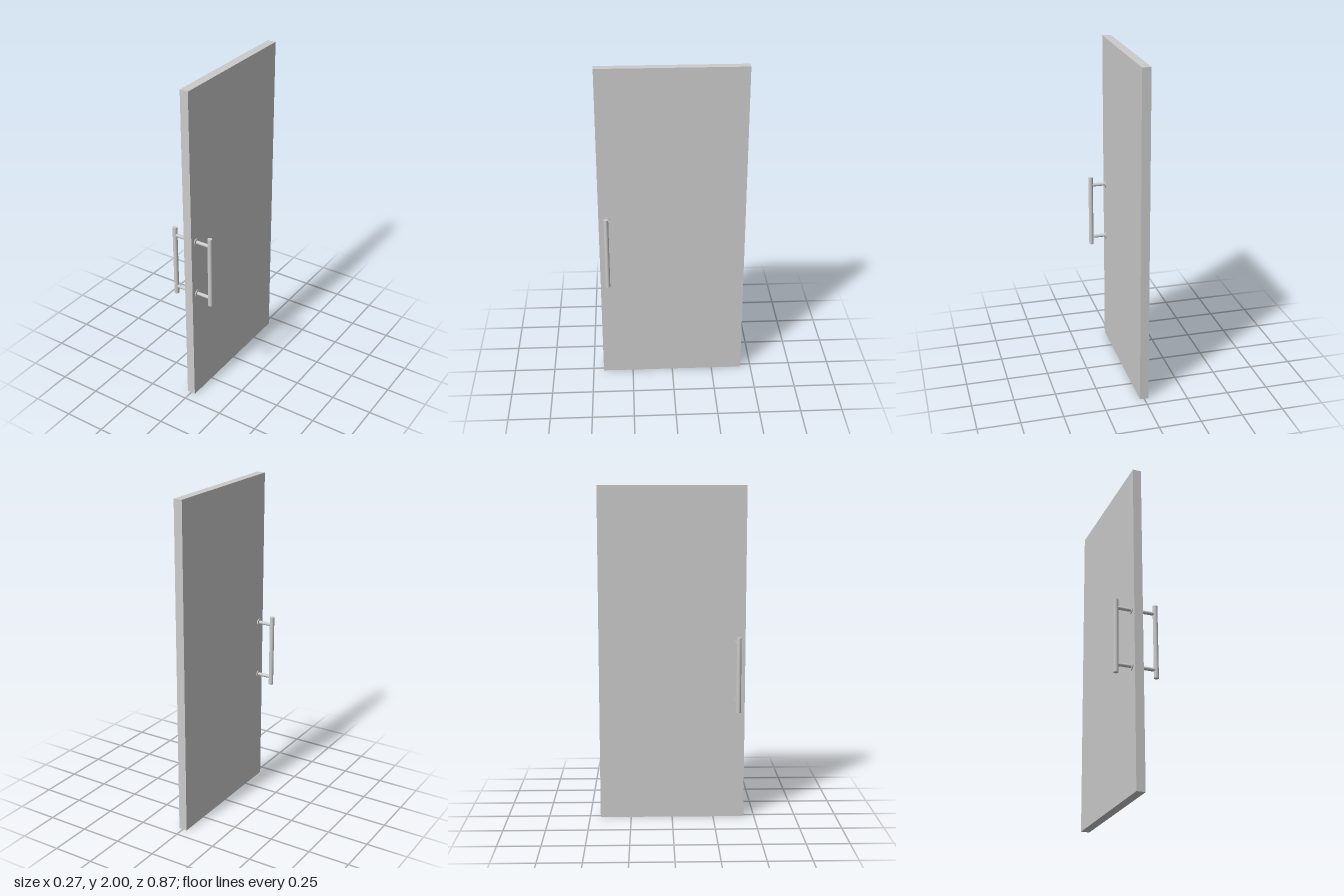
import * as THREE from 'three';

const DOOR = { width: 0.052, height: 2, depth: 0.872 };
const HANDLE = { x: 0.12, y: 0.898, z: 0.39, length: 0.448, radius: 0.014 };
const POST = { offset: 0.174, radius: 0.0105 };
const ROSETTE = { radius: 0.022, thickness: 0.005 };

const material = new THREE.MeshStandardMaterial({ color: 0xcccccc });

function part(name, geometry, x, y, z) {
  const mesh = new THREE.Mesh(geometry, material);
  mesh.name = name;
  mesh.position.set(x, y, z);
  return mesh;
}

// Cylinder lying along x
function rod(radius, length) {
  return new THREE.CylinderGeometry(radius, radius, length, 32).rotateZ(Math.PI / 2);
}

// Pull handle on one face of the door: upright bar, two posts, two rosettes
function createHandle(side) {
  const handle = new THREE.Group();
  handle.name = side > 0 ? 'leftHandle' : 'rightHandle';
  const face = DOOR.width / 2;
  const reach = HANDLE.x - face;

  const bar = new THREE.CylinderGeometry(HANDLE.radius, HANDLE.radius, HANDLE.length, 32);
  handle.add(part('gripBar', bar, side * HANDLE.x, HANDLE.y, HANDLE.z));

  for (const end of [-1, 1]) {
    const y = HANDLE.y + end * POST.offset;
    handle.add(part('post', rod(POST.radius, reach), side * (face + reach / 2), y, HANDLE.z));
    handle.add(part('rosette', rod(ROSETTE.radius, ROSETTE.thickness),
      side * (face + ROSETTE.thickness / 2), y, HANDLE.z));
  }
  return handle;
}

export function createModel() {
  const model = new THREE.Group();
  model.name = 'door';

  // Plain slab
  const slab = new THREE.BoxGeometry(DOOR.width, DOOR.height, DOOR.depth);
  model.add(part('doorPanel', slab, 0, DOOR.height / 2, 0));

  // Matching handles on both faces
  for (const side of [-1, 1]) model.add(createHandle(side));
  return model;
}
